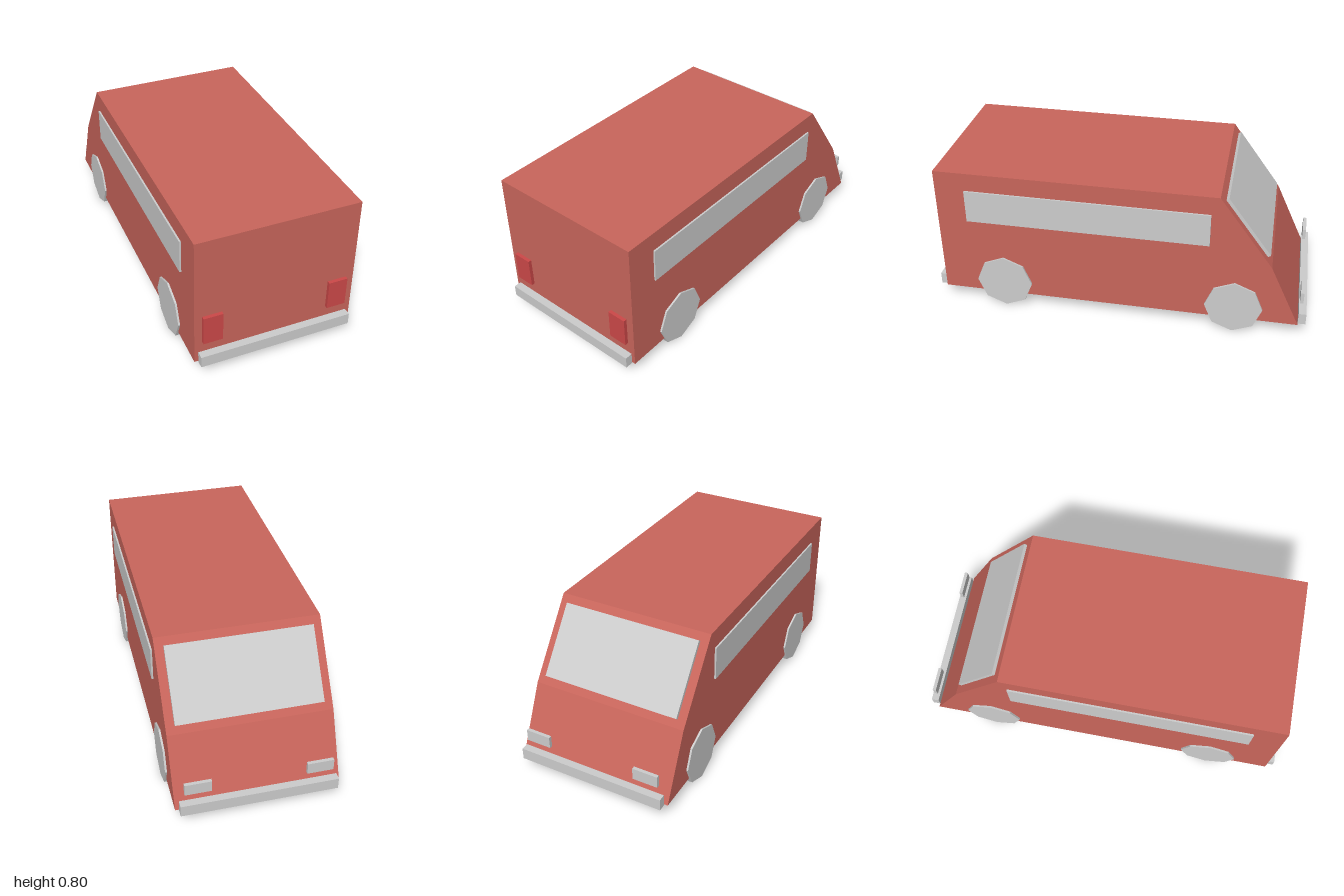
import * as THREE from 'three';

export function createModel() {
  const van = new THREE.Group();
  van.name = 'van';
  const paint = new THREE.MeshStandardMaterial({ name: 'red paint', color: 0xc8655b, flatShading: true });
  const grey = new THREE.MeshStandardMaterial({ name: 'light grey', color: 0xcccccc, flatShading: true });
  const lamp = new THREE.MeshStandardMaterial({ name: 'lamp red', color: 0xcc4848, flatShading: true });

  const add = (name, geometry, material, x, y, z) => {
    const mesh = new THREE.Mesh(geometry, material);
    mesh.name = name;
    mesh.position.set(x, y, z);
    van.add(mesh);
    return mesh;
  };
  const box = (name, material, size, x, y, z) =>
    add(name, new THREE.BoxGeometry(...size), material, x, y, z);

  // Body: side profile (z, y) extruded across the width
  const profile = new THREE.Shape([
    [0.96, 0.08], [0.96, 0.8], [-0.52, 0.8], [-0.8, 0.42], [-0.96, 0.08],
  ].map(([z, y]) => new THREE.Vector2(z, y)));
  const body = new THREE.ExtrudeGeometry(profile, { depth: 0.84, bevelEnabled: false });
  body.translate(0, 0, -0.42).rotateY(-Math.PI / 2);
  add('body', body, paint, 0, 0, 0);

  // Windscreen lying on the sloped face
  const windscreen = box('windscreen', grey, [0.75, 0.385, 0.018], 0, 0.615, -0.667);
  windscreen.rotation.x = Math.atan2(0.28, 0.38);

  // Bumpers at both ends
  for (const end of [-1, 1]) {
    box(end > 0 ? 'tailBumper' : 'noseBumper', grey, [0.8, 0.063, 0.04], 0, 0.106, end * 0.98);
  }

  // Mirrored parts: side windows, lamps and eight-sided wheels
  const wheel = new THREE.CylinderGeometry(0.152, 0.152, 0.116, 8).rotateZ(Math.PI / 2);
  for (const side of [-1, 1]) {
    const label = side > 0 ? 'left' : 'right';
    box(label + 'SideWindow', grey, [0.009, 0.18, 1.28], side * 0.4245, 0.61, 0.16);
    box(label + 'TailLamp', lamp, [0.1, 0.16, 0.018], side * 0.33, 0.28, 0.969);
    box(label + 'Headlamp', grey, [0.135, 0.063, 0.018], side * 0.307, 0.22, -0.969);
    for (const z of [-0.62, 0.62]) {
      add(label + (z > 0 ? 'TailWheel' : 'NoseWheel'), wheel, grey, side * 0.372, 0.153, z);
    }
  }
  return van;
}
